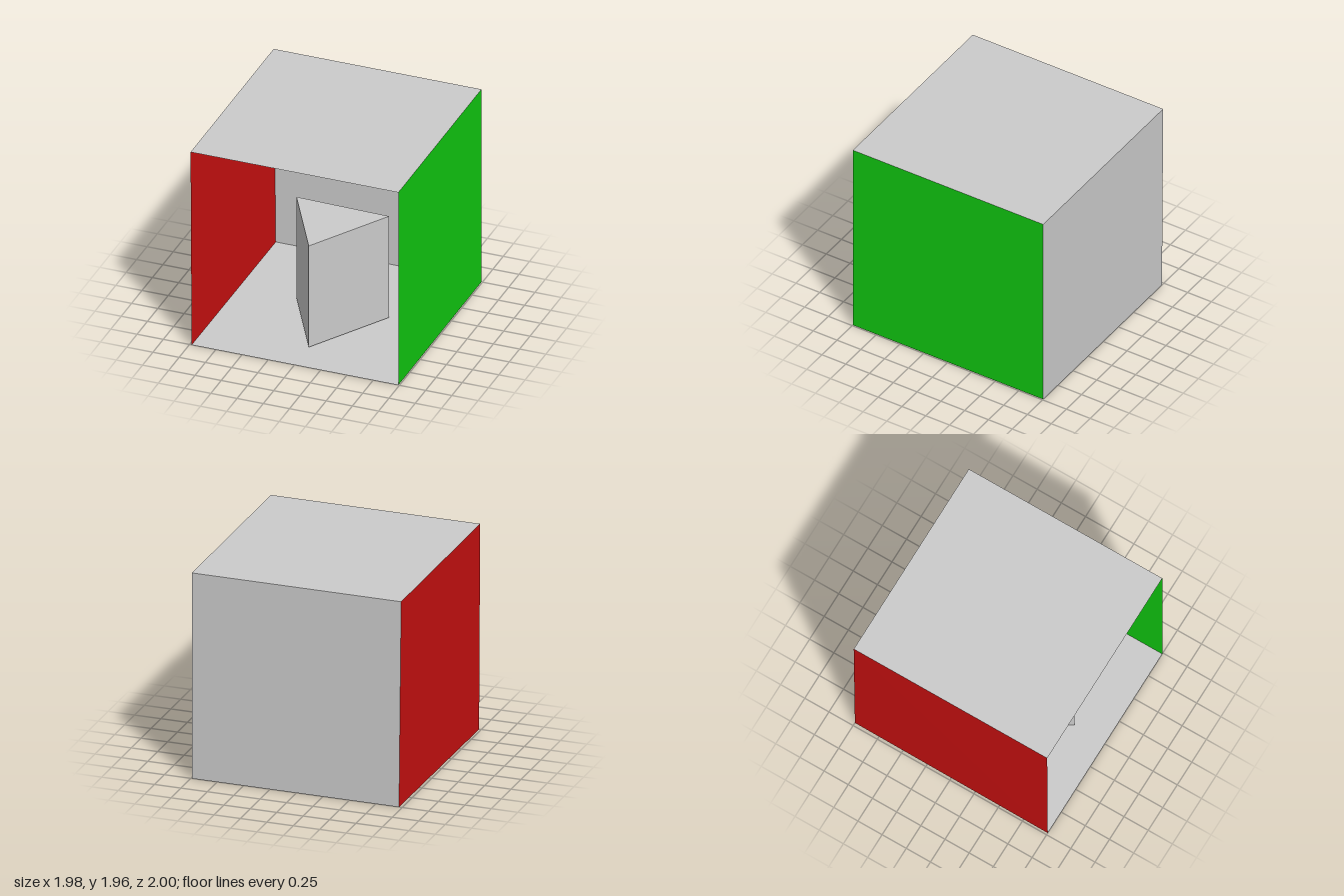
import * as THREE from 'three';

// Corners of the open room; the left wall leans slightly outward at the top
const H = 1.96, R = 0.99;
const corners = {
  floorFrontLeft: [-0.98, 0, 1], floorBackLeft: [-0.97, 0, -1],
  floorFrontRight: [R, 0, 1], floorBackRight: [R, 0, -1],
  topFrontLeft: [-R, H, 1], topBackLeft: [-R, H, -1],
  topFrontRight: [R, H, 1], topBackRight: [R, H, -1],
};

function material(color) {
  return new THREE.MeshStandardMaterial({ color, side: THREE.DoubleSide, flatShading: true });
}

// Four-cornered sheet, corners counter-clockwise as seen from inside the room
function panel(name, names, mat) {
  const geometry = new THREE.BufferGeometry();
  const points = names.flatMap((n) => corners[n]);
  geometry.setAttribute('position', new THREE.Float32BufferAttribute(points, 3));
  geometry.setIndex([0, 1, 2, 0, 2, 3]);
  geometry.computeVertexNormals();
  const mesh = new THREE.Mesh(geometry, mat);
  mesh.name = name;
  return mesh;
}

export function createModel() {
  const model = new THREE.Group();
  model.name = 'openRoom';
  const grey = material(0xcccccc);

  // Room shell, open at the front
  model.add(
    panel('floor', ['floorFrontLeft', 'floorFrontRight', 'floorBackRight', 'floorBackLeft'], grey),
    panel('ceiling', ['topFrontLeft', 'topBackLeft', 'topBackRight', 'topFrontRight'], grey),
    panel('backWall', ['floorBackLeft', 'floorBackRight', 'topBackRight', 'topBackLeft'], grey),
    panel('redWall', ['floorFrontLeft', 'floorBackLeft', 'topBackLeft', 'topFrontLeft'], material(0xcc1111)),
    panel('greenWall', ['floorBackRight', 'floorFrontRight', 'topFrontRight', 'topBackRight'], material(0x11cc11)),
  );

  // Three-sided prism standing just clear of the floor, one edge to the front
  const prism = new THREE.Mesh(
    new THREE.CylinderGeometry(0.515, 0.515, 1.03, 3, 1, false, -0.025),
    new THREE.MeshStandardMaterial({ color: 0xcccccc, flatShading: true }),
  );
  prism.name = 'triangularPrism';
  prism.position.set(0.023, 0.53, 0.167);
  model.add(prism);

  return model;
}
